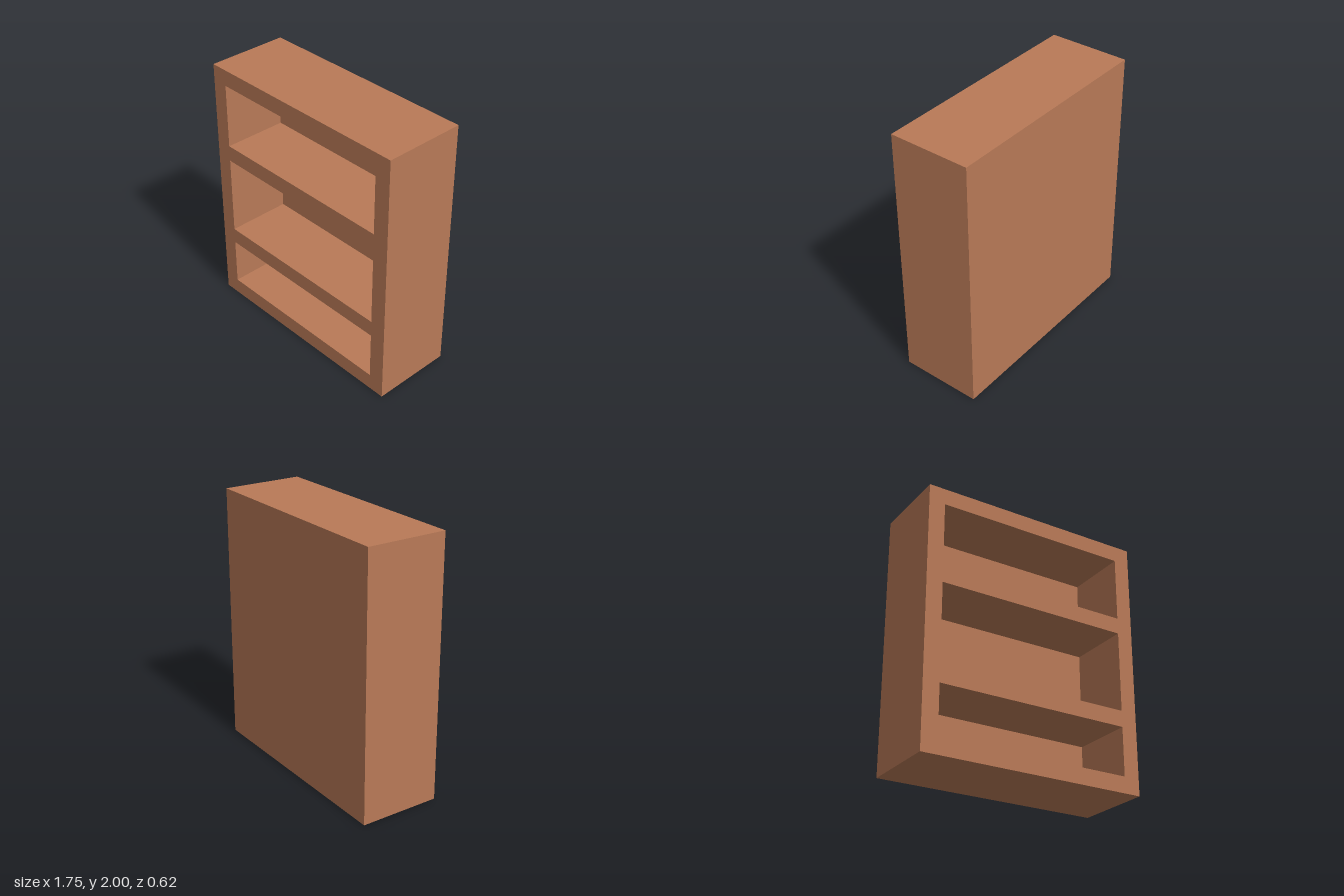
import * as THREE from 'three';

const WIDTH = 1.75, HEIGHT = 2, DEPTH = 0.625, BOARD = 0.125;
// bottom and top of each open compartment
const COMPARTMENTS = [[0.125, 0.5], [0.625, 1.25], [1.375, 1.875]];

// Traces an upright rectangle centred on x = 0
function rectangle(path, width, bottom, top) {
  const h = width / 2;
  path.moveTo(-h, bottom);
  path.lineTo(h, bottom);
  path.lineTo(h, top);
  path.lineTo(-h, top);
  path.closePath();
  return path;
}

export function createModel() {
  const group = new THREE.Group();
  group.name = 'bookcase';
  const wood = new THREE.MeshStandardMaterial({ color: 0xb97a57 });
  wood.name = 'brown wood';

  // Sides, top, base and shelves as one frame with three openings
  const outline = rectangle(new THREE.Shape(), WIDTH, 0, HEIGHT);
  for (const [bottom, top] of COMPARTMENTS) {
    outline.holes.push(rectangle(new THREE.Path(), WIDTH - 2 * BOARD, bottom, top));
  }
  const frame = new THREE.Mesh(
    new THREE.ExtrudeGeometry(outline, { depth: DEPTH - BOARD, bevelEnabled: false }),
    wood
  );
  frame.name = 'shelfFrame';
  frame.position.z = -DEPTH / 2 + BOARD;

  // Solid back closing the compartments
  const back = new THREE.Mesh(new THREE.BoxGeometry(WIDTH, HEIGHT, BOARD), wood);
  back.name = 'backPanel';
  back.position.set(0, HEIGHT / 2, -DEPTH / 2 + BOARD / 2);

  group.add(frame, back);
  return group;
}
